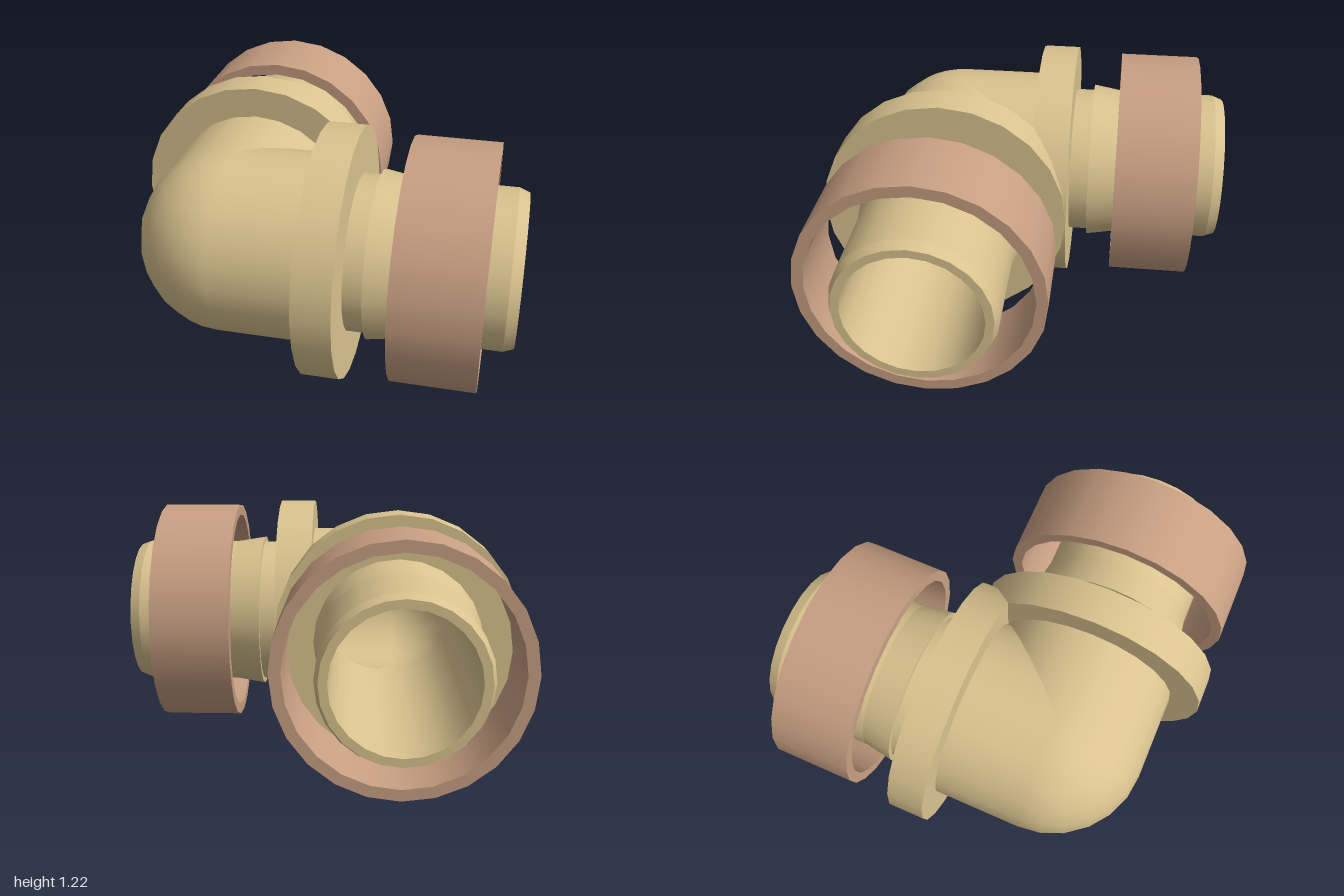
import * as THREE from 'three';
import { mergeGeometries } from 'three/addons/utils/BufferGeometryUtils.js';

const SIDES = 24;
const BODY_R = 0.46, BORE_R = 0.325, FLANGE_T = 0.43;

// Revolve each [radius, distance] step on its own, so the edges between steps stay sharp.
// The axis is laid along +x.
function turned(profile) {
  const bands = [];
  for (let i = 0; i < profile.length - 1; i++) {
    const points = [profile[i], profile[i + 1]].map(([r, t]) => new THREE.Vector2(r, t));
    bands.push(new THREE.LatheGeometry(points, SIDES));
  }
  return mergeGeometries(bands).rotateZ(-Math.PI / 2);
}

// Cut the start of a tube on the 45 degree plane where the two arms meet.
function mitre(geometry) {
  const p = geometry.attributes.position;
  for (let i = 0; i < p.count; i++) {
    if (Math.abs(p.getX(i)) < 1e-6) p.setX(i, Math.min(FLANGE_T, Math.max(0, -p.getZ(i))));
  }
  return geometry;
}

export function createModel() {
  const model = new THREE.Group();
  model.name = 'elbowFitting';
  const plastic = new THREE.MeshStandardMaterial({ color: 0xdac38f });
  const copper = new THREE.MeshStandardMaterial({ color: 0xc89f82 });
  const inside = plastic.clone();
  inside.side = THREE.BackSide;

  const add = (parent, name, geometry, material) => {
    const mesh = new THREE.Mesh(geometry, material);
    mesh.name = name;
    parent.add(mesh);
  };

  // Body, flange, neck, barb, spigot and bore as one turned profile
  const pipe = mitre(turned([
    [BODY_R, 0], [BODY_R, FLANGE_T],
    [0.61, FLANGE_T], [0.61, 0.61],
    [0.382, 0.61], [0.382, 0.705],
    [0.41, 0.705], [0.384, 0.86],
    [0.384, 1.335], [0.365, 1.385],
    [BORE_R, 1.385], [BORE_R, 0],
  ]));

  // Loose clamping ring around the spigot
  const ring = turned([
    [0.53, 0.84], [0.585, 0.84], [0.585, 1.24], [0.53, 1.24], [0.53, 0.84],
  ]);

  // Two equal arms: the second is the first turned half round the bisector
  const bisector = new THREE.Vector3(1, 0, -1).normalize();
  ['sideArm', 'backArm'].forEach((name, i) => {
    const arm = new THREE.Group();
    arm.name = name;
    add(arm, 'pipe', pipe, plastic);
    add(arm, 'clampRing', ring, copper);
    arm.quaternion.setFromAxisAngle(bisector, i * Math.PI);
    model.add(arm);
  });

  // Rounded outer corner and its matching bore
  const corner = (r) => new THREE.SphereGeometry(r, SIDES / 4, SIDES / 2, 0, Math.PI / 2);
  add(model, 'elbowCorner', corner(BODY_R), plastic);
  add(model, 'elbowBore', corner(BORE_R), inside);

  // Put the meeting point of the axes in place
  for (const part of model.children) part.position.set(-0.385, 0.612, 0.385);
  return model;
}
